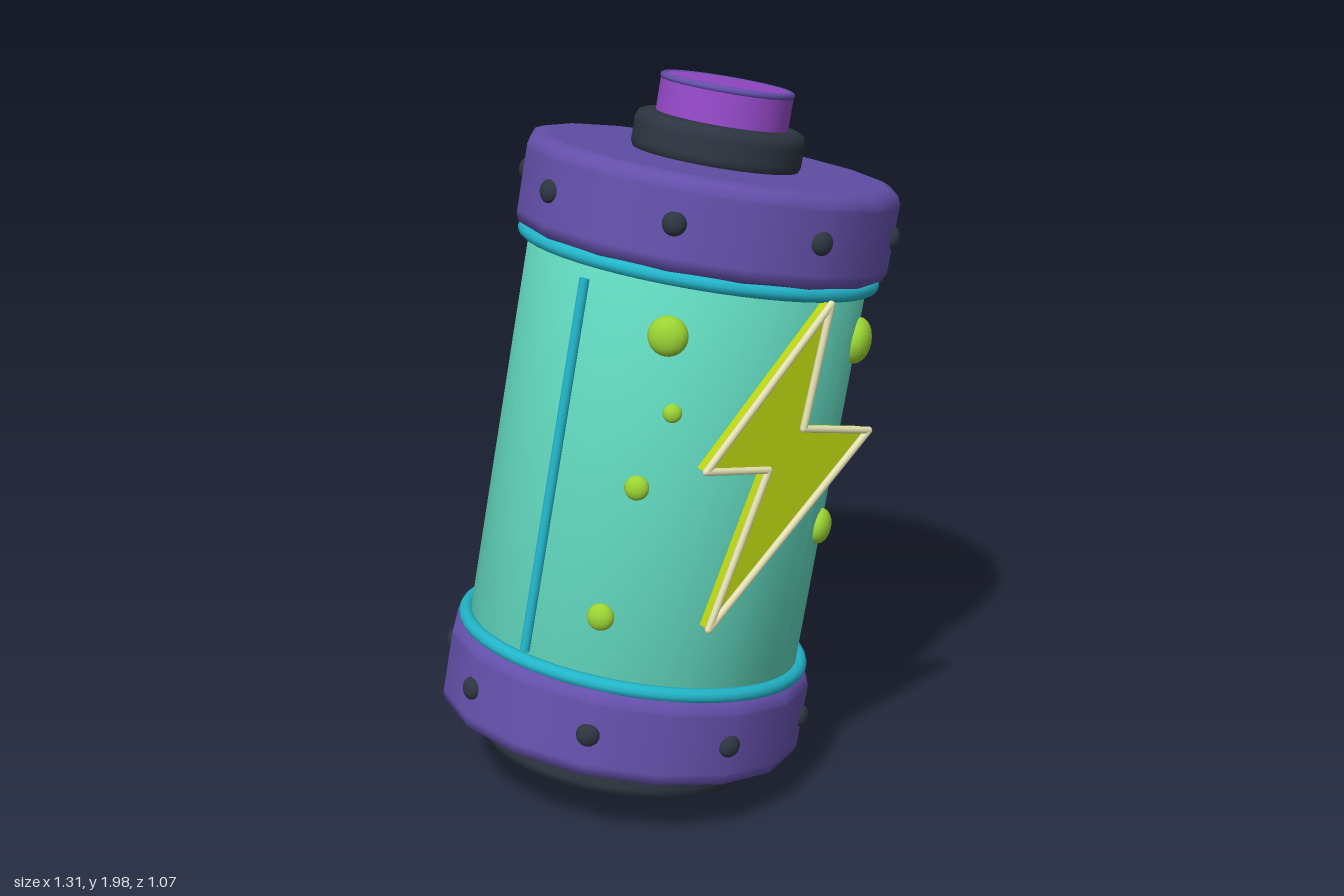
import * as THREE from 'three';
import { mergeVertices } from 'three/addons/utils/BufferGeometryUtils.js';

const mat = (name, color) => {
  const m = new THREE.MeshStandardMaterial({ color });
  m.name = name;
  return m;
};

// Solid drum with rounded rims
function drum(r, y0, y1, b, sides) {
  const half = [[0, 0], [r - b - 0.015, 0], [r - b, 0], [r - 0.3 * b, 0.3 * b], [r, b], [r, b + 0.01]];
  const pts = half.map(([x, y]) => new THREE.Vector2(x, y0 + y));
  half.slice().reverse().forEach(([x, y]) => pts.push(new THREE.Vector2(x, y1 - y)));
  return new THREE.LatheGeometry(pts, sides);
}

export function createModel() {
  const teal = mat('tealGlass', 0x62d9bf);
  const purple = mat('purpleMetal', 0x6450ab);
  const dark = mat('darkRubber', 0x2d3541);
  const cyan = mat('cyanTrim', 0x22b6ca);
  const violet = mat('violetTerminal', 0x9549c8);
  const lime = mat('limeBubble', 0x9bd433);
  const yellow = mat('yellowBolt', 0xbad40f);
  const cream = mat('creamOutline', 0xe6e3b4);

  const model = new THREE.Group();
  model.name = 'battery';
  const cell = new THREE.Group();
  cell.name = 'tiltedCell';
  cell.position.set(-0.175, 0.08, 0);
  cell.rotation.set(0, -0.03, -0.2);
  model.add(cell);

  const add = (name, geo, material, x = 0, y = 0, z = 0, parent = cell) => {
    const mesh = new THREE.Mesh(geo, material);
    mesh.name = name;
    mesh.position.set(x, y, z);
    parent.add(mesh);
    return mesh;
  };

  // Glass body, shaded softly across its rims
  let glass = new THREE.CylinderGeometry(0.465, 0.465, 1.18, 40);
  glass.deleteAttribute('normal');
  glass.deleteAttribute('uv');
  glass = mergeVertices(glass);
  glass.computeVertexNormals();
  add('glassBody', glass, teal, 0, 0.895, 0);

  // Foot, end bands, collar and terminal
  add('foot', drum(0.385, 0, 0.13, 0.025, 40), dark);
  add('lowerBand', drum(0.512, 0.09, 0.338, 0.032, 16), purple);
  add('upperBand', drum(0.512, 1.457, 1.708, 0.032, 16), purple);
  add('collar', drum(0.232, 1.695, 1.812, 0.025, 40), dark);
  add('terminal', drum(0.18, 1.78, 1.912, 0.008, 40), violet);
  const rim = add('terminalRim', new THREE.TorusGeometry(0.173, 0.01, 8, 40), purple, 0, 1.905, 0);
  rim.rotation.x = Math.PI / 2;

  // Trim rings where the glass meets the bands
  for (const y of [0.347, 1.445]) {
    const ring = add('trimRing', new THREE.TorusGeometry(0.477, 0.02, 10, 48), cyan, 0, y, 0);
    ring.rotation.x = Math.PI / 2;
  }

  // Rods along both sides
  for (const s of [-1, 1]) {
    add('sideRod', new THREE.CylinderGeometry(0.014, 0.014, 1.02, 10), cyan, s * 0.449, 0.88, 0.137);
  }

  // Flattened domes set around the axis
  const dome = (name, material, angle, y, dist, r, flat) => {
    const d = add(name, new THREE.SphereGeometry(r, 16, 12), material,
      Math.sin(angle) * dist, y, Math.cos(angle) * dist);
    d.rotation.y = angle;
    d.scale.z = flat;
  };
  for (const y of [0.213, 1.585]) {
    for (let i = 0; i < 8; i++) dome('rivet', dark, i * Math.PI / 4, y, 0.506, 0.032, 0.75);
  }

  // Bubbles: angle, height, radius
  [
    [-0.73, 1.294, 0.053], [-0.635, 1.098, 0.025], [-0.76, 0.887, 0.033], [-0.84, 0.525, 0.037],
    [0.75, 1.297, 0.064], [0.96, 0.992, 0.032], [0.676, 0.778, 0.05], [1.878, 1.223, 0.056],
  ].forEach(([a, y, r]) => dome('bubble', lime, a, y, 0.466, r, 0.65));

  // Lightning emblem with a rounded outline
  const corners = [[0.065, 1.43], [0.05, 1.097], [0.272, 1.094], [-0.143, 0.552], [-0.04, 0.986], [-0.24, 0.982]]
    .map(([x, y]) => new THREE.Vector2(x, y));
  add('lightningPlate', new THREE.ExtrudeGeometry(new THREE.Shape(corners), { depth: 0.03, bevelEnabled: false }),
    yellow, 0, 0, 0.47);
  const outline = new THREE.Group();
  outline.name = 'lightningOutline';
  cell.add(outline);
  corners.forEach((p, i) => {
    const q = corners[(i + 1) % corners.length];
    const side = add('outlineEdge', new THREE.CylinderGeometry(0.01, 0.01, p.distanceTo(q), 8), cream,
      (p.x + q.x) / 2, (p.y + q.y) / 2, 0.51, outline);
    side.rotation.z = Math.atan2(q.y - p.y, q.x - p.x) - Math.PI / 2;
    add('outlineCorner', new THREE.SphereGeometry(0.01, 8, 6), cream, p.x, p.y, 0.51, outline);
  });

  return model;
}
